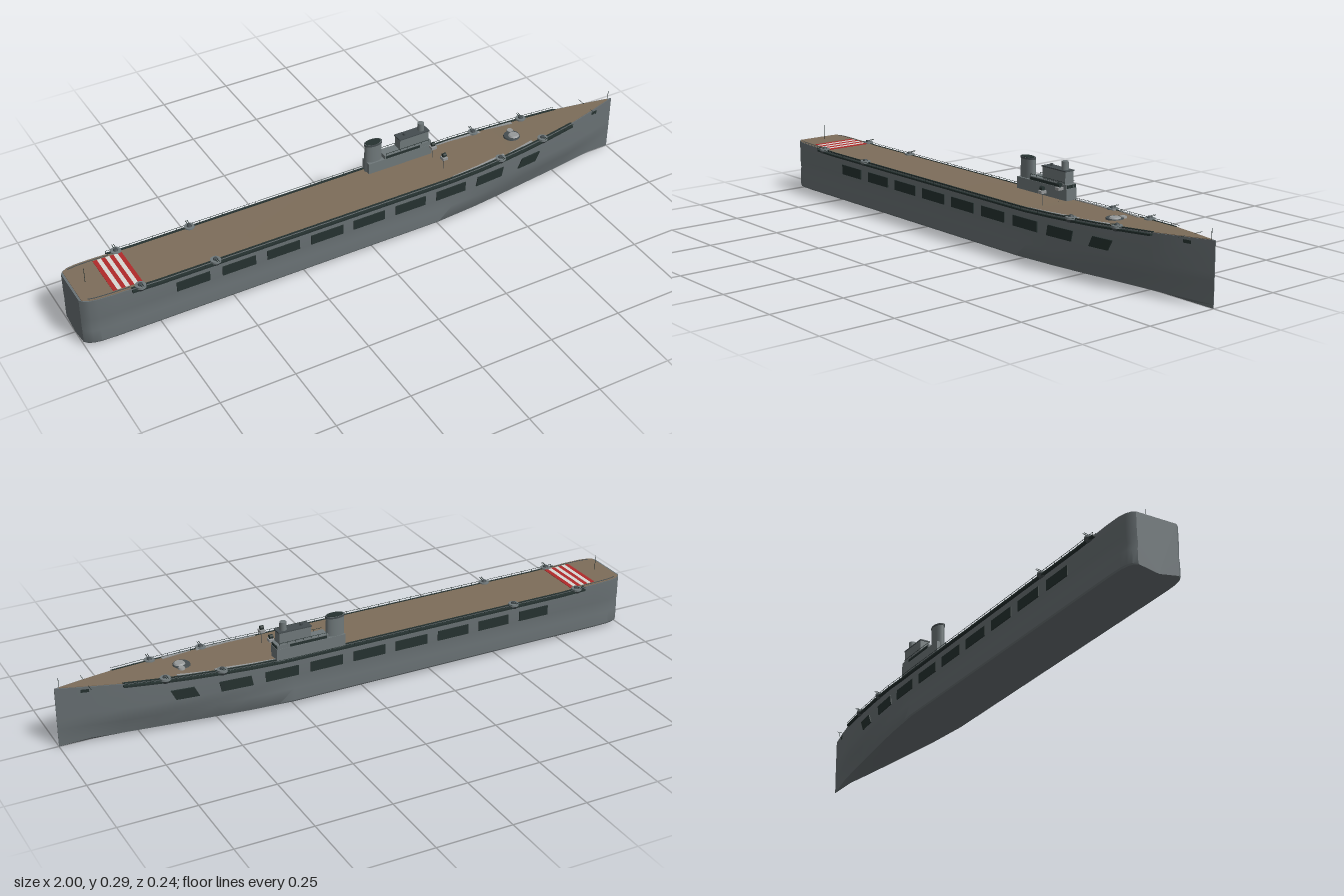
import * as THREE from 'three';
import { toCreasedNormals } from 'three/addons/utils/BufferGeometryUtils.js';

const mat = (name, color) => {
  const m = new THREE.MeshStandardMaterial({ color });
  m.name = name;
  return m;
};

// piecewise linear lookup in a short table of [x, value]
const lookup = (t, x) => {
  for (let i = 1; i < t.length; i++) {
    if (x <= t[i][0]) {
      const [x0, a] = t[i - 1], [x1, b] = t[i];
      return a + (b - a) * Math.max(0, (x - x0) / (x1 - x0));
    }
  }
  return t[t.length - 1][1];
};
const WIDTH = [[-1, 0.07], [-0.99, 0.082], [-0.975, 0.09], [-0.95, 0.095], [-0.9, 0.097], [0.25, 0.097],
  [0.4, 0.094], [0.5, 0.087], [0.6, 0.077], [0.7, 0.065], [0.8, 0.05], [0.9, 0.027], [1, 0.001]];
const SHEER = [[-1, 0.178], [-0.88, 0.176], [-0.75, 0.172], [0.3, 0.172], [0.6, 0.181], [1, 0.2]];
const halfWidth = (x) => lookup(WIDTH, x);
const deckY = (x) => lookup(SHEER, x);

// stations between two x values, including every bend of the tables
const stations = (x0, x1) => [...new Set([x0, x1, ...WIDTH.map((p) => p[0]), ...SHEER.map((p) => p[0])])]
  .filter((x) => x >= x0 && x <= x1).sort((a, b) => a - b);

// closed loft along x; section(x) gives [z, y] corners
function loft(xs, section, lean = 0) {
  const pos = [];
  const rings = xs.map((x) => section(x).map(([z, y]) => [x + lean * (y - 0.107), y, z]));
  const tri = (a, b, c) => pos.push(...a, ...b, ...c);
  const n = rings[0].length, last = rings[rings.length - 1];
  for (let i = 0; i < rings.length - 1; i++) {
    for (let j = 0; j < n; j++) {
      const k = (j + 1) % n, A = rings[i], B = rings[i + 1];
      tri(A[j], B[j], B[k]);
      tri(A[j], B[k], A[k]);
    }
  }
  for (let j = 1; j < n - 1; j++) {
    tri(rings[0][0], rings[0][j], rings[0][j + 1]);
    tri(last[0], last[j + 1], last[j]);
  }
  const g = new THREE.BufferGeometry();
  g.setAttribute('position', new THREE.Float32BufferAttribute(pos, 3));
  return toCreasedNormals(g, 0.5);
}
const rect = (za, zb, y0, y1) => {
  const lo = Math.min(za, zb), hi = Math.max(za, zb);
  return [[lo, y0], [hi, y0], [hi, y1], [lo, y1]];
};

export function createModel() {
  const ship = new THREE.Group();
  ship.name = 'carrierShip';
  const hullGrey = mat('hullGrey', 0x697174);
  const grey = mat('superstructureGrey', 0x6f787a);
  const dark = mat('darkGrey', 0x263230);
  const gunGrey = mat('gunGrey', 0x454d50);
  const light = mat('lightGrey', 0x96999a);
  const wood = mat('deckBrown', 0x7d6d5a);
  const red = mat('stripeRed', 0xb02a2a);
  const white = mat('stripeWhite', 0xd8d8d4);

  const add = (name, geo, material, x = 0, y = 0, z = 0, parent = ship) => {
    const m = new THREE.Mesh(geo, material);
    m.name = name;
    m.position.set(x, y, z);
    parent.add(m);
    return m;
  };
  // box given by its limits
  const box = (name, material, x0, x1, y0, y1, z0, z1) => add(name,
    new THREE.BoxGeometry(x1 - x0, y1 - y0, z1 - z0), material, (x0 + x1) / 2, (y0 + y1) / 2, (z0 + z1) / 2);
  const cyl = (r0, r1, h, n = 16) => new THREE.CylinderGeometry(r0, r1, h, n);

  // hull: shallow V bottom, fine lower bow
  add('hull', loft(stations(-1, 1), (x) => {
    const w = halfWidth(x), t = Math.max(0, (x - 0.25) / 0.75);
    const b = 1 - 0.5 * t, m = 1 - 0.22 * t;
    const side = [[w * b * 0.97, 0.012], [w * b, 0.017], [w * m, 0.06], [w * 0.97, 0.08], [w, 0.105], [w, deckY(x)]];
    return [[0, 0], ...side, ...side.slice().reverse().map(([z, y]) => [-z, y])];
  }), hullGrey);

  // wooden flight deck
  add('flightDeck', loft(stations(-0.993, 0.985), (x) => {
    const w = Math.max(0.0005, halfWidth(x) - 0.003);
    return rect(-w, w, deckY(x) - 0.002, deckY(x) + 0.0015);
  }), wood);

  // landing stripes near the stern
  for (let i = 0; i < 7; i++) {
    const x = -0.893 + i * 0.0138;
    add('landingStripe', loft([x, x + 0.0138], (s) => rect(-0.08, 0.08, deckY(s), deckY(s) + 0.003)), i % 2 ? white : red);
  }

  const openings = [[-0.695, -0.583], [-0.54, -0.425], [-0.385, -0.27], [-0.23, -0.113], [-0.075, 0.04],
    [0.08, 0.193], [0.235, 0.348]];
  for (const s of [1, -1]) {
    // hangar openings
    const opening = (x0, x1, lean) => add('hangarOpening', loft(stations(x0, x1),
      (x) => rect(s * (halfWidth(x) - 0.002), s * (halfWidth(x) + 0.003), 0.107, 0.141), lean), dark);
    openings.forEach(([a, b]) => opening(a, b, 0));
    opening(0.39, 0.495, 0.2);
    opening(0.565, 0.64, 0.5);

    // edge gallery with railing
    const outer = (x) => s * (halfWidth(x) + 0.01);
    add('edgeGallery', loft(stations(-0.84, 0.8),
      (x) => rect(s * (halfWidth(x) - 0.002), outer(x), deckY(x) - 0.009, deckY(x) - 0.003)), dark);
    add('galleryCoaming', loft(stations(-0.84, 0.8),
      (x) => rect(s * (halfWidth(x) - 0.006), s * (halfWidth(x) - 0.001), deckY(x), deckY(x) + 0.003)), dark);
    add('galleryRail', loft(stations(-0.84, 0.8),
      (x) => rect(outer(x), outer(x) - s * 0.001, deckY(x) + 0.003, deckY(x) + 0.004)), dark);
    for (let x = -0.84; x <= 0.8; x += 0.04) {
      add('railPost', new THREE.BoxGeometry(0.001, 0.013, 0.001), dark, x, deckY(x) - 0.002, outer(x) - s * 0.0005);
    }
    // stern deck border
    add('sternBorder', loft(stations(-0.975, -0.84),
      (x) => rect(s * (halfWidth(x) - 0.012), s * (halfWidth(x) - 0.009), deckY(x), deckY(x) + 0.0025)), gunGrey);

    // light wind screens at the forward deck edge
    for (const [a, b] of [[0.3, 0.51], [0.53, 0.63]]) {
      add('windScreen', loft(stations(a, b), (x) => rect(s * (halfWidth(x) - 0.008 - 0.008 * (x - a) / (b - a)),
        s * (halfWidth(x) - 0.006), deckY(x), deckY(x) + 0.004)), light);
    }

    // gun tubs on sponsons
    for (const x of [-0.81, -0.56, 0.49, 0.67]) {
      const tub = new THREE.Group();
      tub.name = 'gunTub';
      tub.position.set(x, deckY(x), s * (halfWidth(x) - 0.002));
      ship.add(tub);
      add('sponson', cyl(0.018, 0.012, 0.01), gunGrey, 0, -0.006, 0, tub);
      add('tubWall', cyl(0.017, 0.018, 0.007), grey, 0, 0.002, 0, tub);
      add('gunMount', cyl(0.006, 0.009, 0.006, 10), gunGrey, 0, 0.008, 0, tub);
      for (const o of [-0.003, 0.003]) {
        const barrel = add('gunBarrel', cyl(0.001, 0.001, 0.026, 6), dark, o, 0.01, s * 0.01, tub);
        barrel.rotation.x = s * 1.4;
      }
    }

    // searchlights beside the island
    const z = s * 0.035;
    add('searchlightPost', cyl(0.0008, 0.0008, 0.042, 6), gunGrey, 0.3, 0.193, z);
    box('searchlightBase', light, 0.291, 0.309, 0.212, 0.221, z - 0.01, z + 0.01);
    add('searchlight', cyl(0.007, 0.007, 0.012), dark, 0.3, 0.228, z).rotation.z = Math.PI / 2;

    // anchor openings and mooring booms at the bow
    add('hawseOpening', loft([0.9, 0.925],
      (x) => rect(s * (halfWidth(x) - 0.002), s * (halfWidth(x) + 0.001), 0.178, 0.188)), dark);
    add('bowBoom', cyl(0.0008, 0.0008, 0.03, 6), dark, 0.9, 0.197, s * 0.035).rotation.x = Math.PI / 2;
  }

  // windlass on the foredeck
  add('windlassPlate', cyl(0.027, 0.029, 0.005, 14), gunGrey, 0.59, deckY(0.59) + 0.003, 0);
  add('windlassTop', cyl(0.015, 0.02, 0.005, 12), light, 0.595, deckY(0.59) + 0.007, 0.004);
  add('capstan', cyl(0.01, 0.012, 0.007, 12), light, 0.6, deckY(0.6) + 0.004, -0.026);

  // flag staffs
  add('bowStaff', cyl(0.0008, 0.0008, 0.034, 6), dark, 0.985, 0.216, 0);
  add('sternStaff', cyl(0.0008, 0.0008, 0.054, 6), dark, -0.95, 0.204, 0);

  // island superstructure
  box('islandBase', grey, 0.07, 0.31, 0.17, 0.212, -0.1, -0.058);
  box('islandUpperDeck', grey, 0.13, 0.308, 0.212, 0.225, -0.099, -0.059);
  box('islandWindowBand', dark, 0.135, 0.265, 0.213, 0.222, -0.1, -0.058);
  for (let i = 0; i < 4; i++) {
    box('bridgeWindow', dark, 0.3075, 0.3095, 0.213, 0.223, -0.097 + i * 0.0093, -0.0895 + i * 0.0093);
  }
  box('bridge', grey, 0.19, 0.298, 0.225, 0.266, -0.096, -0.062);
  box('bridgeRoof', gunGrey, 0.187, 0.301, 0.264, 0.268, -0.097, -0.061);
  add('director', cyl(0.011, 0.012, 0.028), grey, 0.278, 0.281, -0.079);
  add('rangefinder', cyl(0.005, 0.005, 0.01, 10), gunGrey, 0.215, 0.271, -0.079);
  for (const z of [-0.0985, -0.0595]) {
    box('bridgeRail', dark, 0.135, 0.3, 0.231, 0.232, z - 0.0005, z + 0.0005);
    for (let x = 0.136; x < 0.3; x += 0.027) box('bridgeRailPost', dark, x, x + 0.001, 0.225, 0.232, z - 0.0005, z + 0.0005);
  }

  // funnel
  const funnel = new THREE.Group();
  funnel.name = 'funnel';
  funnel.position.set(0.098, 0, -0.081);
  funnel.scale.z = 0.55;
  ship.add(funnel);
  add('funnelBody', cyl(0.031, 0.032, 0.108, 24), grey, 0, 0.225, 0, funnel);
  add('funnelRim', cyl(0.033, 0.033, 0.006, 24), gunGrey, 0, 0.276, 0, funnel);
  add('funnelMouth', cyl(0.028, 0.028, 0.002, 24), dark, 0, 0.2795, 0, funnel);
  return ship;
}
